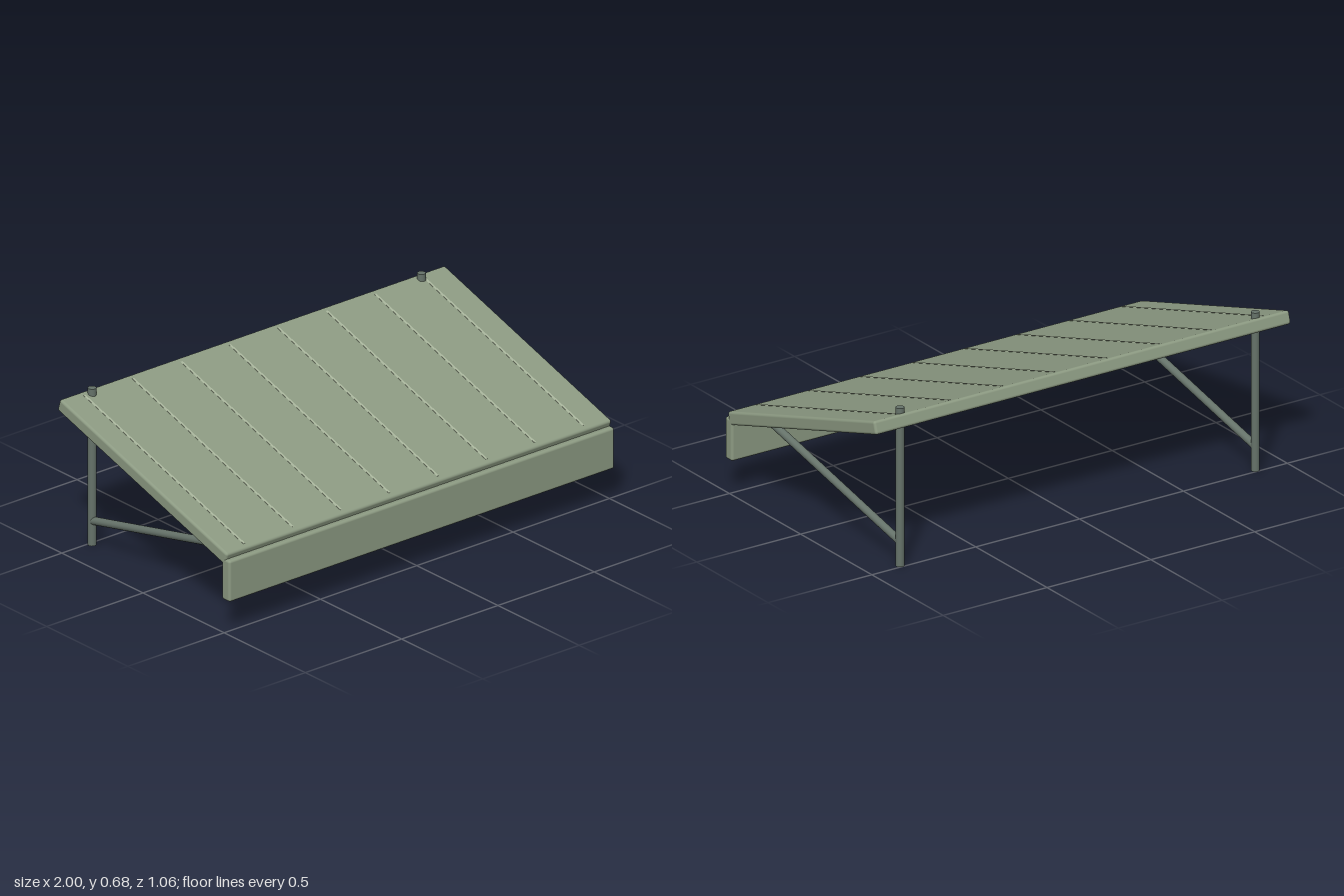
import * as THREE from 'three';
import { RoundedBoxGeometry } from 'three/addons/geometries/RoundedBoxGeometry.js';

export function createModel() {
  const group = new THREE.Group();
  const cloth = new THREE.MeshStandardMaterial({ color: 0x8c9a82 });
  const seamMat = new THREE.MeshStandardMaterial({ color: 0xa9b59c });
  const metal = new THREE.MeshStandardMaterial({ color: 0x66736a });

  const add = (parent, name, geometry, material, x, y, z) => {
    const mesh = new THREE.Mesh(geometry, material);
    mesh.name = name;
    mesh.position.set(x, y, z);
    parent.add(mesh);
    return mesh;
  };

  // Round bar between two points
  const bar = (name, a, b, radius) => {
    const dir = b.clone().sub(a);
    const mid = a.clone().add(b).multiplyScalar(0.5);
    const geometry = new THREE.CylinderGeometry(radius, radius, dir.length(), 16);
    const mesh = add(group, name, geometry, metal, mid.x, mid.y, mid.z);
    mesh.quaternion.setFromUnitVectors(new THREE.Vector3(0, 1, 0), dir.normalize());
  };

  // Sloping canopy, high at the back, with raised seams on top
  const canopy = new THREE.Group();
  canopy.name = 'canopy';
  canopy.position.set(0, 0.48, -0.007);
  canopy.rotation.x = 0.3;
  group.add(canopy);
  const thickness = 0.056;
  add(canopy, 'canopyPanel', new RoundedBoxGeometry(2, thickness, 1.08, 3, 0.011), cloth, 0, 0, 0);
  const seam = new THREE.BoxGeometry(0.01, 0.006, 1.03);
  for (let i = 0; i < 8; i++) {
    add(canopy, 'seam', seam, seamMat, -0.89 + i * 0.2515, thickness / 2 - 0.002, 0);
  }

  // Hanging front valance
  add(group, 'valance', new RoundedBoxGeometry(2, 0.18, 0.05, 3, 0.011), cloth, 0, 0.232, 0.508);

  // Rear posts and diagonal braces
  for (const x of [-0.855, 0.855]) {
    bar('post', new THREE.Vector3(x, 0, -0.486), new THREE.Vector3(x, 0.684, -0.486), 0.0175);
    bar('brace', new THREE.Vector3(x, 0.105, -0.486), new THREE.Vector3(x, 0.308, 0.446), 0.0165);
  }
  return group;
}
